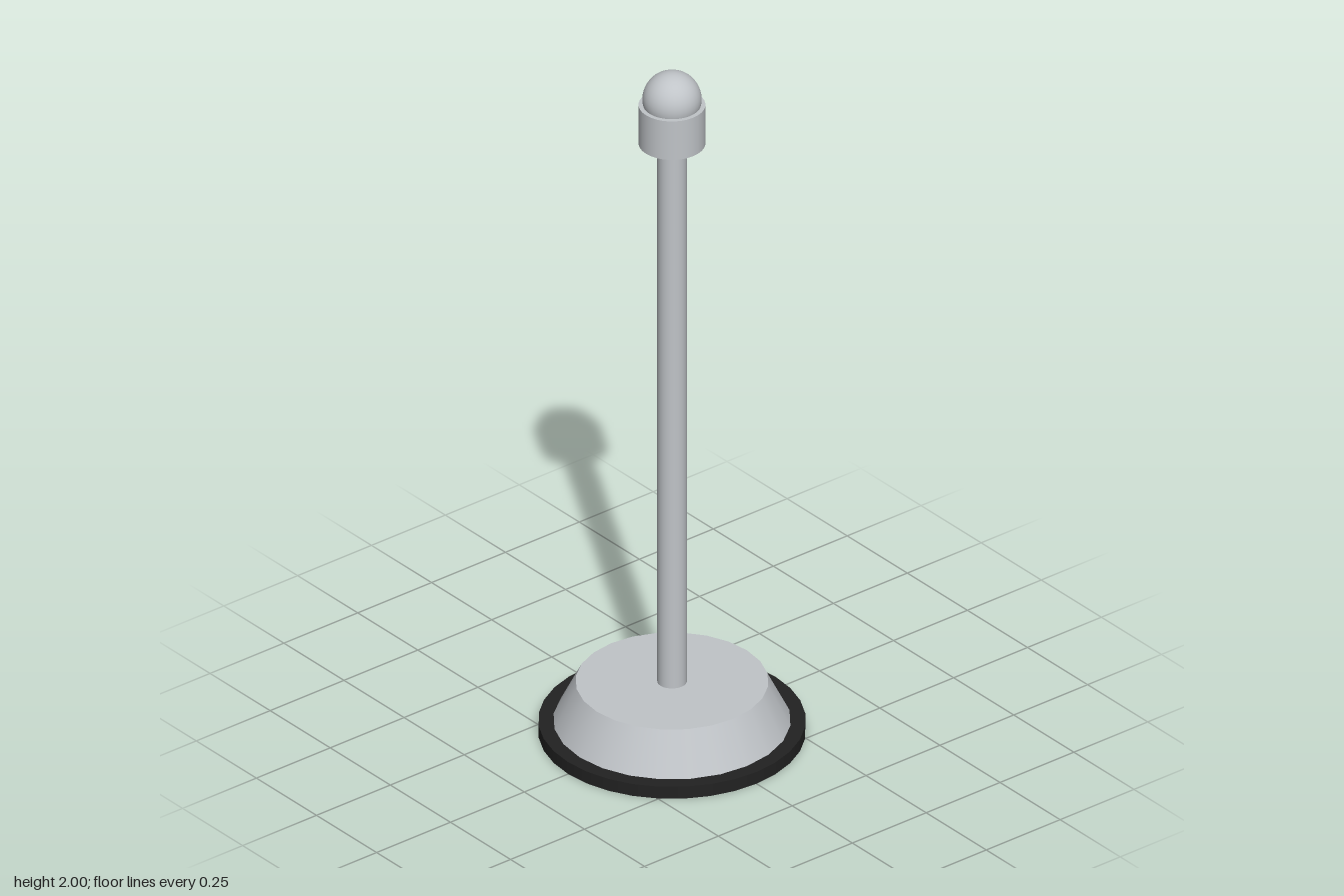
import * as THREE from 'three';

export function createModel() {
  const model = new THREE.Group();
  const metal = new THREE.MeshStandardMaterial({ color: 0xc0c4c8 });
  metal.name = 'brushed metal';
  const rubber = new THREE.MeshStandardMaterial({ color: 0x222222 });
  rubber.name = 'black rubber';

  const add = (name, geometry, material, y) => {
    const mesh = new THREE.Mesh(geometry, material);
    mesh.name = name;
    mesh.position.y = y;
    model.add(mesh);
  };
  // Upright round part between two heights
  const round = (name, material, rTop, rBottom, y0, y1, sides) =>
    add(name, new THREE.CylinderGeometry(rTop, rBottom, y1 - y0, sides), material, (y0 + y1) / 2);

  // Foot
  round('rubberFoot', rubber, 0.3515, 0.3515, 0, 0.036, 32);
  round('weightedBase', metal, 0.254, 0.3125, 0.036, 0.153, 24);

  // Post, running up into the collar
  round('post', metal, 0.039, 0.039, 0.153, 1.8, 24);

  // Head
  round('collar', metal, 0.088, 0.088, 1.788, 1.905, 32);
  add('ballFinial', new THREE.SphereGeometry(0.078, 32, 20), metal, 1.922);

  return model;
}
